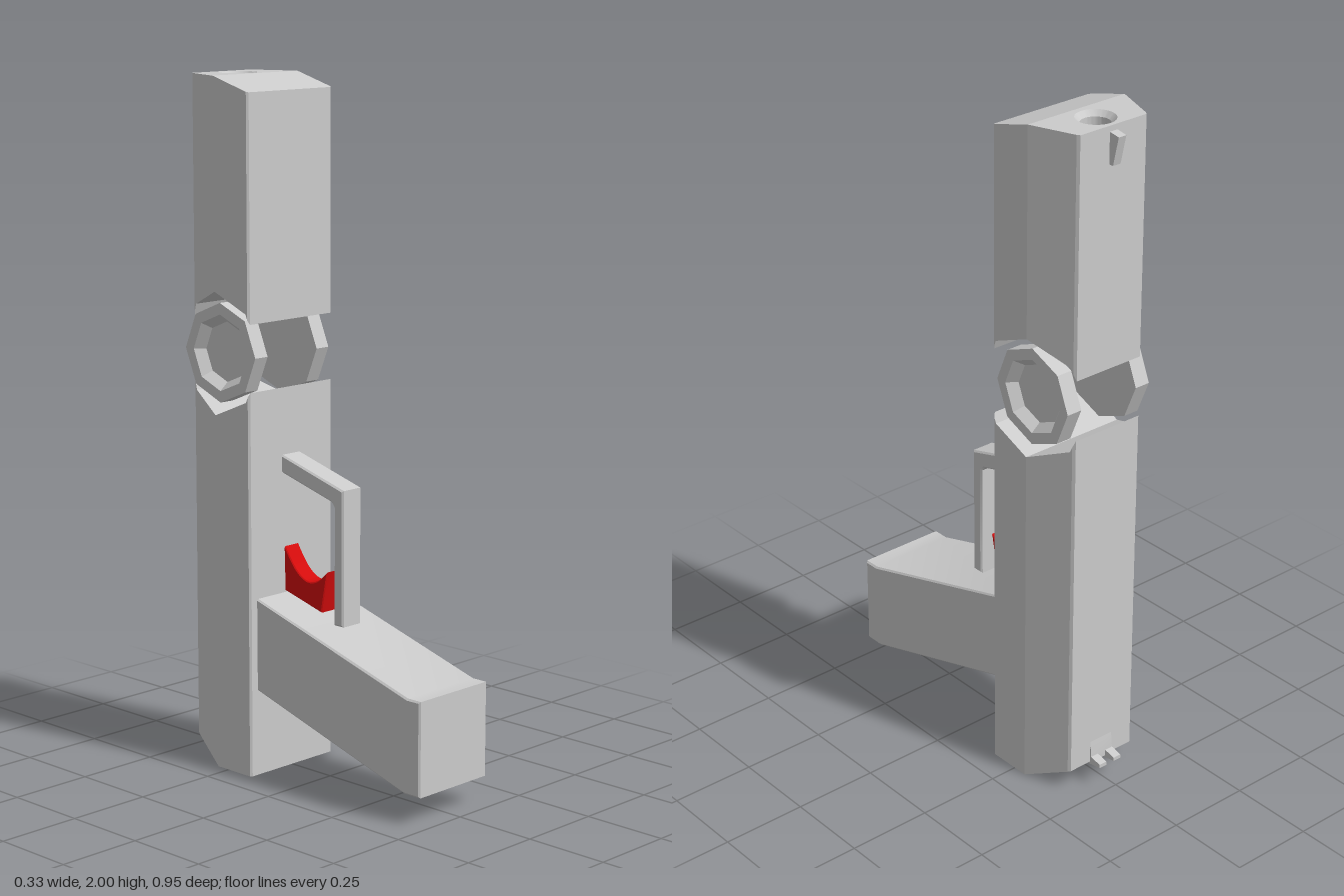
import * as THREE from 'three';
import { toCreasedNormals } from 'three/addons/utils/BufferGeometryUtils.js';

const grey = new THREE.MeshStandardMaterial({ color: 0xcccccc });
const greyFlat = new THREE.MeshStandardMaterial({ color: 0xcccccc, flatShading: true });
const red = new THREE.MeshStandardMaterial({ color: 0xd40c0c });

const HINGE_Y = 1.22, HINGE_Z = -0.293, CLEAR = 0.177;
const FRONT = -0.156, BACK = -0.433;
const CORNER = CLEAR * Math.SQRT1_2;

function add(parent, name, geometry, material = grey) {
  const mesh = new THREE.Mesh(geometry, material);
  mesh.name = name;
  parent.add(mesh);
  return mesh;
}

// Side profile of [z, y] points, extruded across x with a fine bevel
function sideExtrude(shape, width, x = 0, bevel = 0.005) {
  const g = new THREE.ExtrudeGeometry(shape, {
    depth: width - 2 * bevel, bevelEnabled: bevel > 0, bevelThickness: bevel,
    bevelSize: bevel, bevelOffset: -bevel, bevelSegments: 1, curveSegments: 10,
  });
  g.translate(0, 0, -(width - 2 * bevel) / 2);
  g.rotateY(-Math.PI / 2);
  g.translate(x, 0, 0);
  return toCreasedNormals(g, 0.5);
}
const poly = (pts) => new THREE.Shape(pts.map((p) => new THREE.Vector2(...p)));

// Half width of the body at depth z: straight at the front, tapering to the back
function halfWidth(z) {
  if (z >= FRONT) return 0.16;
  if (z <= BACK) return 0.113;
  return z > HINGE_Z ? 0.166 : 0.166 + (z - HINGE_Z) * 0.36;
}

// Height of the octagonal hinge clearance at depth z
function notch(z) {
  const d = Math.abs(z - HINGE_Z);
  return d <= CORNER ? CLEAR - d * Math.tan(Math.PI / 8) : (CLEAR - d) / Math.tan(Math.PI / 8);
}

// Body block lofted from rectangles running front to back
const STATIONS = [FRONT, FRONT - 0.005, HINGE_Z + CORNER, HINGE_Z, HINGE_Z - CORNER, BACK + 0.008, BACK];
function bodyLoft(bottom, top, openTop) {
  const pos = [], index = [];
  for (const z of STATIONS) {
    const w = halfWidth(z), b = bottom(z), t = top(z);
    pos.push(-w, b, z, w, b, z, w, t, z, -w, t, z);
  }
  for (let i = 0; i < STATIONS.length - 1; i++) {
    for (let j = 0; j < 4; j++) {
      if (openTop && j === 2 && STATIONS[i] <= HINGE_Z) continue;
      const a = i * 4 + j, b = i * 4 + (j + 1) % 4;
      index.push(a, a + 4, b + 4, a, b + 4, b);
    }
  }
  const e = (STATIONS.length - 1) * 4;
  index.push(0, 1, 2, 0, 2, 3, e, e + 2, e + 1, e, e + 3, e + 2);
  const g = new THREE.BufferGeometry();
  g.setAttribute('position', new THREE.Float32BufferAttribute(pos, 3));
  g.setIndex(index);
  const flat = g.toNonIndexed();
  flat.computeVertexNormals();
  return flat;
}

export function createModel() {
  const root = new THREE.Group();
  root.name = 'foldingDevice';

  // Lower body with sloped rear bottom
  add(root, 'lowerBody', bodyLoft(
    (z) => Math.max(0, (HINGE_Z - z) * 0.45),
    (z) => HINGE_Y - notch(z), false));

  // Upper body with sloped front top
  const upper = new THREE.Group();
  upper.name = 'upperBody';
  root.add(upper);
  add(upper, 'upperShell', bodyLoft(
    (z) => HINGE_Y + notch(z),
    (z) => 2 - Math.max(0, (z - HINGE_Z) * 0.29), true));

  // Flat top plate pierced by the bore
  const rear = STATIONS.filter((z) => z <= HINGE_Z);
  const plate = poly([
    ...rear.map((z) => [halfWidth(z), -z]),
    ...rear.slice().reverse().map((z) => [-halfWidth(z), -z]),
  ]);
  const hole = new THREE.Path();
  hole.absarc(0, 0.365, 0.055, 0, Math.PI * 2, true);
  plate.holes.push(hole);
  const plateGeo = new THREE.ShapeGeometry(plate, 24);
  plateGeo.rotateX(-Math.PI / 2);
  add(upper, 'topPlate', plateGeo).position.y = 2;
  const borePts = [[0.055, 0], [0.041, -0.015], [0.041, -0.1], [0, -0.1]];
  const bore = toCreasedNormals(new THREE.LatheGeometry(borePts.map((p) => new THREE.Vector2(...p)), 48), 0.5);
  add(upper, 'bore', bore).position.set(0, 2, -0.365);

  // Octagonal hinge discs with recessed outer faces
  const discPts = [[0, 0.098], [0.143, 0.098], [0.143, 0.146], [0.11, 0.146], [0.087, 0.118], [0, 0.118]];
  for (const side of [1, -1]) {
    const g = new THREE.LatheGeometry(discPts.map((p) => new THREE.Vector2(...p)), 8);
    g.rotateZ(-side * Math.PI / 2);
    add(root, side > 0 ? 'leftHingeDisc' : 'rightHingeDisc', g, greyFlat).position.set(0, HINGE_Y, HINGE_Z);
  }

  // Handle
  add(root, 'handle', sideExtrude(poly([
    [-0.16, 0.253], [0.415, 0.08], [0.473, 0.08], [0.473, 0.353], [0.425, 0.353], [-0.16, 0.525],
  ]), 0.277));

  // Trigger guard
  add(root, 'triggerGuard', sideExtrude(poly([
    [-0.16, 0.878], [-0.16, 0.93], [0.086, 0.86], [0.086, 0.466], [0.05, 0.466], [0.05, 0.808], [0.038, 0.822],
  ]), 0.076));

  // Trigger with a concave finger face
  const trigger = new THREE.Shape();
  trigger.moveTo(-0.155, 0.53);
  trigger.lineTo(-0.008, 0.49);
  trigger.lineTo(0.014, 0.612);
  trigger.splineThru([[-0.024, 0.58], [-0.066, 0.573], [-0.11, 0.6], [-0.155, 0.66]]
    .map((p) => new THREE.Vector2(...p)));
  add(root, 'trigger', sideExtrude(trigger, 0.056, 0, 0.003), red);

  // Front sight blade near the top
  add(root, 'frontSight', sideExtrude(poly([
    [-0.425, 1.895], [-0.447, 1.895], [-0.466, 1.978], [-0.425, 1.985],
  ]), 0.026, 0, 0));

  // Rear sight plate with two prongs near the bottom
  const rearSight = new THREE.Group();
  rearSight.name = 'rearSight';
  root.add(rearSight);
  add(rearSight, 'sightPlate', sideExtrude(poly([
    [-0.425, 0.063], [-0.438, 0.063], [-0.438, 0.08], [-0.433, 0.13], [-0.425, 0.13],
  ]), 0.08, 0, 0));
  for (const side of [1, -1]) {
    add(rearSight, 'sightProng', sideExtrude(poly([
      [-0.43, 0.055], [-0.474, 0.062], [-0.474, 0.073], [-0.43, 0.083],
    ]), 0.026, side * 0.027, 0));
  }
  return root;
}
